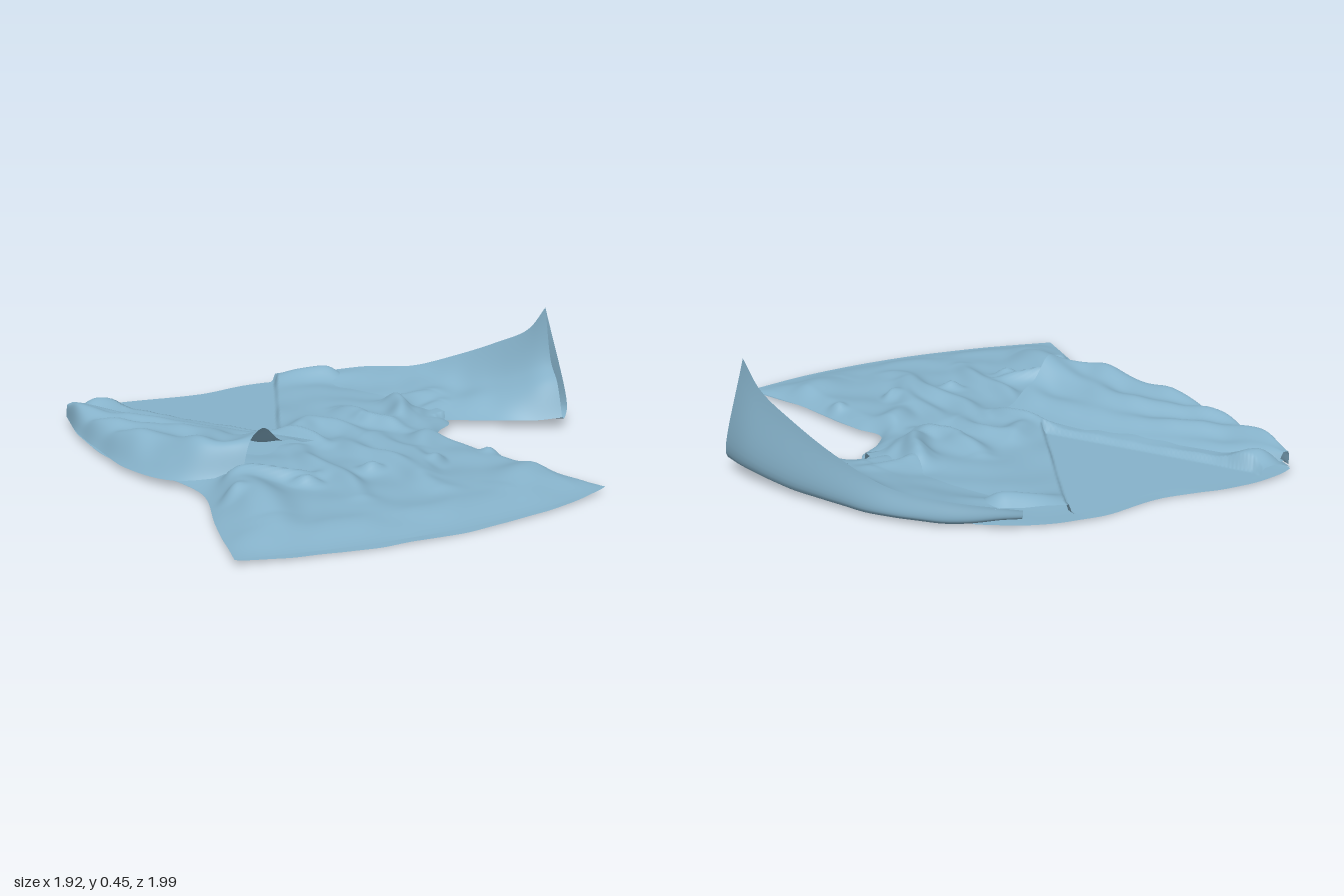
import * as THREE from 'three';

const material = new THREE.MeshStandardMaterial({ color: 0x86b2ca, side: THREE.DoubleSide });
const { lerp, smoothstep, clamp } = THREE.MathUtils;

// Smooth lookup through [key, value] pairs
function lookup(table, k) {
  const last = table.length - 1;
  const x = clamp(k, table[0][0], table[last][0]);
  let i = 1;
  while (i < last && x > table[i][0]) i++;
  const slope = (n) => {
    const a = table[Math.max(0, n - 1)], b = table[Math.min(last, n + 1)];
    return (b[1] - a[1]) / (b[0] - a[0]);
  };
  const [k0, v0] = table[i - 1], [k1, v1] = table[i];
  const w = k1 - k0, t = (x - k0) / w, s = 1 - t;
  return v0 * s * s * (1 + 2 * t) + v1 * t * t * (3 - 2 * t) + w * t * s * (s * slope(i - 1) - t * slope(i));
}

// Grid surface from point(u, v); faces up when u runs to +x and v to +z
function sheet(name, point, nu, nv, flip = false) {
  const pos = [], index = [];
  for (let j = 0; j <= nv; j++)
    for (let i = 0; i <= nu; i++) pos.push(...point(i / nu, j / nv));
  for (let j = 0; j < nv; j++)
    for (let i = 0; i < nu; i++) {
      const a = j * (nu + 1) + i, b = a + 1, c = a + nu + 1, d = c + 1;
      if (flip) index.push(a, b, c, b, d, c);
      else index.push(a, c, b, b, c, d);
    }
  const geo = new THREE.BufferGeometry();
  geo.setAttribute('position', new THREE.Float32BufferAttribute(pos, 3));
  geo.setIndex(index);
  geo.computeVertexNormals();
  const mesh = new THREE.Mesh(geo, material);
  mesh.name = name;
  return mesh;
}

// Smooth surface through rows of control points; relief(x, z) fades at the sides
function loft(name, rows, nu, nv, flip, relief) {
  const lines = rows[0].map((_, c) =>
    new THREE.CatmullRomCurve3(rows.map((r) => new THREE.Vector3(...r[c]))));
  return sheet(name, (u, v) => {
    const p = new THREE.CatmullRomCurve3(lines.map((l) => l.getPoint(v))).getPoint(u);
    return [p.x, Math.max(0.005, p.y + Math.sin(Math.PI * u) * relief(p.x, p.z)), p.z];
  }, nu, nv, flip);
}

const wrinkle = (x, z) =>
  Math.sin(17 * x + 6 * z + 2 * Math.sin(7 * z)) * 0.5 +
  Math.sin(23 * z - 11 * x + 1.5 * Math.sin(9 * x)) * 0.35 + Math.sin(37 * x + 29 * z) * 0.15;

// Body outline: sides by z, neck and hem by x
const rightSide = [[-0.97, -0.79], [-0.7, -0.85], [-0.3, -0.87], [0, -0.8], [0.1, -0.77],
  [0.28, -0.76], [0.6, -0.86], [0.97, -0.955]];
const leftSide = [[-0.97, 0.48], [-0.15, 0.5], [0, 0.38], [0.1, 0.32], [0.22, 0.36], [0.6, 0.42], [0.97, 0.51]];
const neckEdge = [[-0.79, -0.96], [-0.7, -0.985], [-0.55, -0.998], [-0.2, -0.945], [0.03, -0.98],
  [0.2, -0.965], [0.38, -0.9], [0.48, -0.83]];
const hemEdge = [[-0.955, 0.87], [-0.6, 0.955], [-0.2, 0.995], [0.2, 0.965], [0.51, 0.89]];

// Folds: start x, z, end x, z, width, height
const folds = [
  [-0.23, -0.2, -0.15, 0.02, 0.04, 0.045], [-0.2, -0.18, -0.02, -0.26, 0.05, 0.03],
  [-0.03, -0.24, 0.04, 0.02, 0.045, 0.035], [0.17, -0.38, 0.12, -0.14, 0.045, 0.045],
  [0.12, -0.16, 0.24, 0, 0.04, 0.04], [0.26, -0.1, 0.38, -0.3, 0.055, 0.06],
  [0.34, -0.28, 0.56, -0.36, 0.05, 0.045], [0.36, -0.12, 0.54, -0.24, 0.04, 0.04],
  [-0.27, 0.05, -0.34, 0.62, 0.05, 0.04], [-0.07, 0, -0.05, 0.7, 0.05, 0.035],
  [0.1, 0.05, 0, 0.55, 0.045, 0.03], [0.12, 0.28, 0.3, 0.08, 0.045, 0.035],
  [-0.6, 0.24, -0.71, 0.65, 0.09, 0.06], [-0.64, 0.28, -0.38, 0.35, 0.035, 0.045],
  [0.16, -0.9, 0.5, -0.82, 0.07, 0.05], [-0.78, -0.94, -0.6, -0.84, 0.05, 0.04],
  [0.15, 0.74, 0.45, 0.64, 0.07, 0.025], [0.5, 0.87, 0.47, 0.7, 0.04, 0.035],
];

// Folds meander and taper; a row of small tucks crosses the waist
function foldHeight(px, pz) {
  const x = px + 0.02 * Math.sin(13 * pz + 4 * px), z = pz + 0.02 * Math.sin(15 * px - 5 * pz);
  const d0 = (z - 0.41) / 0.035;
  let h = 0.035 * Math.exp(-d0 * d0) * Math.max(0, Math.cos(23 * (x + 0.18))) ** 2;
  for (const [x0, z0, x1, z1, w, k] of folds) {
    const dx = x1 - x0, dz = z1 - z0;
    const t = clamp(((x - x0) * dx + (z - z0) * dz) / (dx * dx + dz * dz), 0, 1);
    const d = Math.hypot(x - x0 - t * dx, z - z0 - t * dz) / w;
    h += k * (0.4 + 0.6 * Math.sin(Math.PI * t)) * Math.exp(-d * d);
  }
  return h;
}

function outline(u, v) {
  const z0 = lerp(-0.97, 0.97, v);
  const x = lerp(lookup(rightSide, z0), lookup(leftSide, z0), u);
  return [x, lerp(lookup(neckEdge, x), lookup(hemEdge, x), v)];
}

// Front panel, dropping to the back panel inside the V neck
function frontPoint(u, v) {
  const [x, z] = outline(u, v);
  const run = clamp((-0.2 - z) / 0.75, 0, 1);
  const inside = Math.min(x - lerp(-0.22, -0.63, run), lerp(-0.22, 0.17, run) - x);
  const neck = z < -0.2 ? smoothstep(inside, -0.008, 0.008) : 0;
  const sideL = z < -0.12 ? 1 : smoothstep(1 - u, 0, 0.07);
  const puff = Math.sqrt(smoothstep(u, 0, 0.1) * sideL) * smoothstep(1 - v, -0.01, 0.1);
  const underSleeve = z < -0.1 ? smoothstep(x, 0.36, 0.48) : 0;
  const cloth = 0.032 + foldHeight(x, z) * (1 - underSleeve) + 0.007 * wrinkle(x, z);
  return [x, 0.028 + puff * lerp(cloth, 0.012, neck), z];
}

// Back panel, gathered at the waist
function backPoint(u, v) {
  const [x, z] = outline(u, v);
  const waist = Math.exp(-(((z - 0.17 + 0.1 * x) / 0.12) ** 2));
  const edge = Math.sin(Math.PI * u) ** 0.4;
  const gather = 0.014 + 0.018 * wrinkle(2.2 * x, 2.2 * z);
  return [x, Math.max(0.002, 0.026 - 0.014 * edge + waist * gather * edge + 0.003 * wrinkle(x, z)), z];
}

const mix = (a, b, t, y) => [lerp(a[0], b[0], t), y, lerp(a[2], b[2], t)];

// Raised sleeve, per section: underarm seam, bottom outer corner, crest, height of the middle
const raised = [
  [[0.36, 0.03, -0.03], [0.33, 0.04, -0.92], [0.33, 0.07, -0.925], 0.055],
  [[0.45, 0.03, -0.08], [0.55, 0.03, -0.8], [0.54, 0.1, -0.8], 0.075],
  [[0.51, 0.03, -0.1], [0.69, 0.03, -0.64], [0.67, 0.12, -0.64], 0.09],
  [[0.59, 0.03, -0.05], [0.79, 0.035, -0.45], [0.77, 0.19, -0.46], 0.1],
  [[0.7, 0.035, 0.04], [0.88, 0.045, -0.23], [0.85, 0.28, -0.26], 0.16],
  [[0.79, 0.04, 0.11], [0.935, 0.06, -0.05], [0.9, 0.36, -0.11], 0.22],
  [[0.87, 0.055, 0.17], [0.955, 0.08, 0.09], [0.93, 0.46, -0.04], 0.26],
];

// Folded sleeve, per section: outer edge, inner edge, crown height, slope height
const folded = [
  [[-0.8, 0.03, -0.94], [-0.74, 0.05, -0.955], 0.1, 0.1],
  [[-0.85, 0.03, -0.7], [-0.6, 0.06, -0.75], 0.1, 0.1],
  [[-0.868, 0.03, -0.4], [-0.46, 0.06, -0.52], 0.11, 0.11],
  [[-0.868, 0.03, -0.17], [-0.34, 0.06, -0.33], 0.12, 0.125],
  [[-0.79, 0.04, 0.08], [-0.24, 0.07, -0.15], 0.15, 0.13],
  [[-0.6, 0.07, 0.23], [-0.15, 0.07, -0.01], 0.21, 0.125],
];

// Pleats running along the folded sleeve
const sleevePleats = (x, z) =>
  0.012 * wrinkle(x, z) + 0.012 * Math.sin(34 * (x - 0.55 * z) + 2 * Math.sin(6 * z));

export function createModel() {
  const group = new THREE.Group();
  group.name = 'blouse';
  group.add(sheet('frontPanel', frontPoint, 130, 150));
  group.add(sheet('backPanel', backPoint, 80, 110, true));

  // Sleeve with its outer edge curled upwards, open at the cuff
  const top = raised.map(([s, , c, h]) => [s, mix(s, c, 0.3, lerp(s[1], h, 0.65)), mix(s, c, 0.65, h), c]);
  const under = raised.map(([s, b, c]) => [s, mix(s, b, 0.55, 0.02 + 0.3 * (b[1] - 0.02)), b, c]);
  group.add(loft('raisedSleeveTop', top, 50, 60, false, (x, z) => 0.9 * foldHeight(x, z) + 0.008 * wrinkle(x, z)));
  group.add(loft('raisedSleeveUnderside', under, 30, 50, true, (x, z) => 0.003 * wrinkle(x, z)));

  // Sleeve folded across the chest, open at the cuff
  const upper = folded.map(([q, p, crown, slope]) => [q, mix(q, p, 0.15, crown), mix(q, p, 0.55, slope), p]);
  const lower = folded.map(([q, p]) => [q, mix(q, p, 0.5, 0.055), p]);
  group.add(loft('foldedSleeveTop', upper, 50, 70, false, sleevePleats));
  group.add(loft('foldedSleeveUnderside', lower, 12, 40, true, (x, z) => 0.004 * wrinkle(x, z)));
  return group;
}
